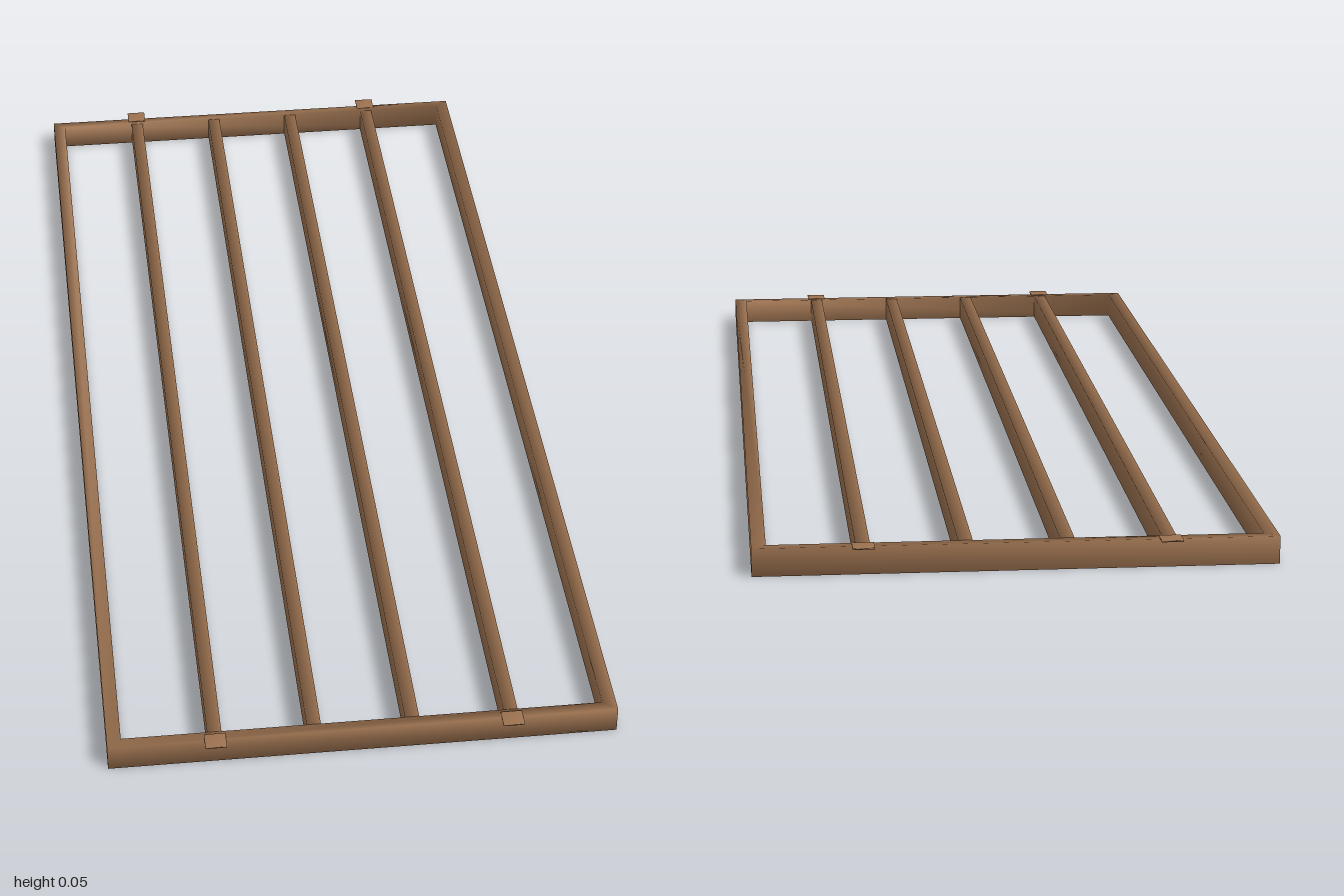
import * as THREE from 'three';
import { mergeVertices } from 'three/addons/utils/BufferGeometryUtils.js';

const HEIGHT = 0.047;

// Shares corner vertices so that shading runs softly around the edges
function soften(geometry) {
  geometry.deleteAttribute('normal');
  geometry.deleteAttribute('uv');
  const merged = mergeVertices(geometry, 1e-5);
  merged.computeVertexNormals();
  return merged;
}

function rectangle(path, x, y) {
  path.moveTo(-x, -y);
  path.lineTo(x, -y);
  path.lineTo(x, y);
  path.lineTo(-x, y);
  path.closePath();
  return path;
}

export function createModel() {
  const model = new THREE.Group();
  model.name = 'slattedFrame';
  const wood = new THREE.MeshStandardMaterial({ color: 0x9c7250 });
  wood.name = 'brown';

  const add = (name, geometry, x = 0, y = 0, z = 0) => {
    const mesh = new THREE.Mesh(soften(geometry), wood);
    mesh.name = name;
    mesh.position.set(x, y, z);
    model.add(mesh);
  };

  // Outer frame: two side rails and two end rails in one piece
  const outline = rectangle(new THREE.Shape(), 0.43, 0.98);
  outline.holes.push(rectangle(new THREE.Path(), 0.406, 0.96));
  const frame = new THREE.ExtrudeGeometry(outline, { depth: HEIGHT, bevelEnabled: false });
  frame.rotateX(-Math.PI / 2);
  add('outerFrame', frame);

  // Four long slats between the end rails
  for (const x of [-0.25, -0.083, 0.083, 0.25]) {
    add('slat', new THREE.BoxGeometry(0.024, HEIGHT - 0.001, 1.92), x, HEIGHT / 2, 0);
  }

  // Thin hook plates resting on the end rails
  for (const x of [-0.25, 0.25]) {
    for (const z of [-0.984, 0.984]) {
      add('hookPlate', new THREE.BoxGeometry(0.036, 0.003, 0.032), x, HEIGHT + 0.0015, z);
    }
  }
  return model;
}
